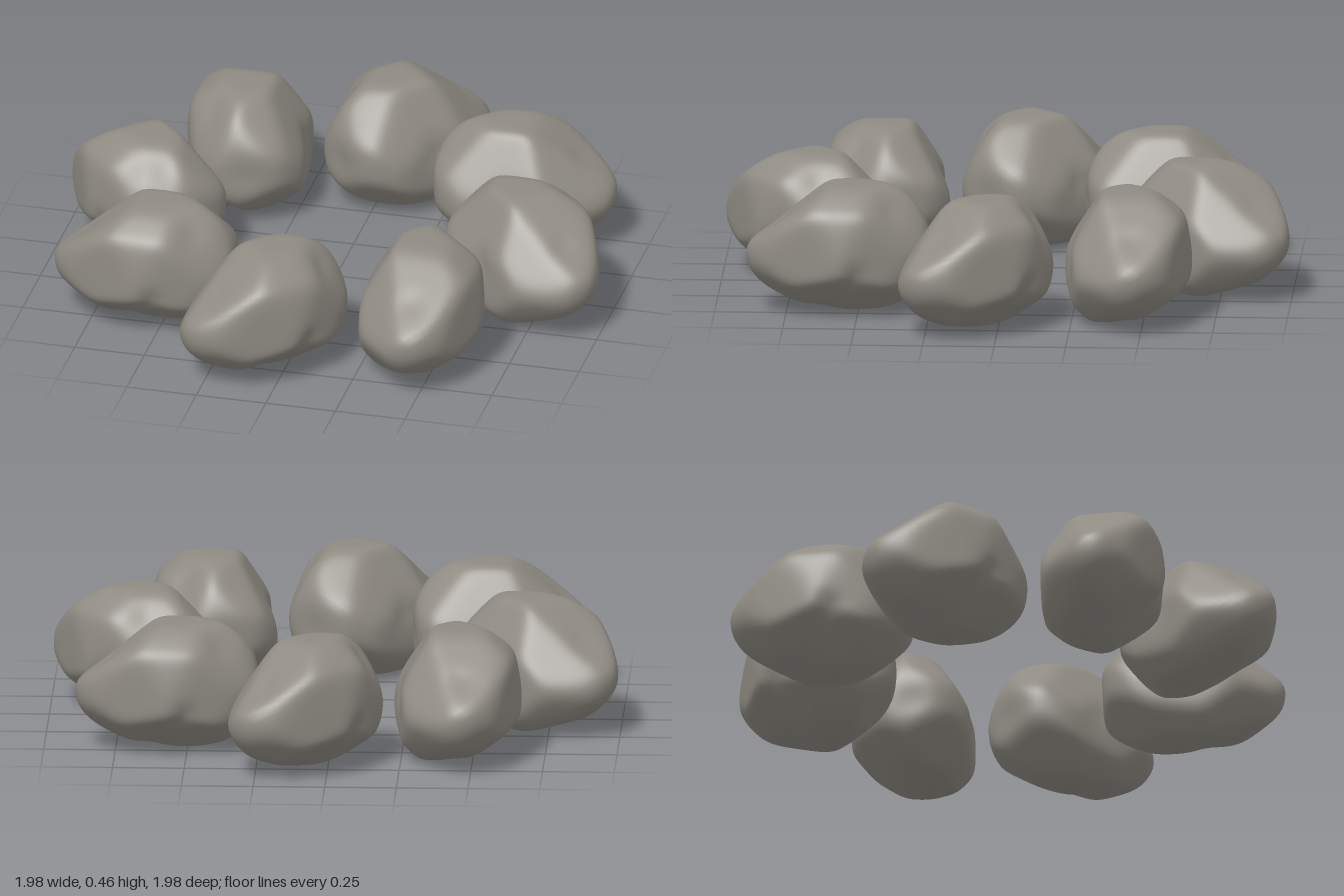
import * as THREE from 'three';
import { mergeVertices } from 'three/addons/utils/BufferGeometryUtils.js';

// Facets of the boulder: outward normal and distance from its centre
const FACETS = [
  // walls
  [0.95, 0, 0.32, 0.212], [0.94, 0, -0.34, 0.219], [-0.99, 0, 0.14, 0.207], [-0.9, 0, -0.43, 0.282],
  // inner and outer ends
  [0, 0, -1, 0.315], [0.6, 0, -0.8, 0.302], [-0.5, 0, -0.87, 0.325],
  [0, 0, 1, 0.325], [-0.55, 0, 0.83, 0.29], [0.62, 0, 0.78, 0.292], [-0.79, 0, 0.62, 0.26],
  // top and the slope towards the outer end
  [0, 1, 0, 0.225], [0, 0.81, 0.59, 0.205], [0, 0.45, -0.89, 0.31], [0.6, 0.8, 0, 0.235], [-0.86, 0.51, 0, 0.195],
  [0.97, 0.23, 0, 0.222],
  // underside
  [0, -1, -0.05, 0.226], [0, -0.93, 0.37, 0.231], [0, -0.6, 0.8, 0.3], [0, -0.6, -0.8, 0.32],
  [0.6, -0.8, 0, 0.19], [-0.7, -0.7, 0, 0.25],
  // bevelled corners of the outer end
  [0.5, 0.7, 0.5, 0.25], [0.66, 0.35, 0.66, 0.263], [0.5, -0.7, 0.5, 0.24], [0.66, -0.35, 0.66, 0.28],
  [-0.59, 0.55, 0.59, 0.205], [-0.57, -0.57, 0.57, 0.25],
  // bevelled corners of the inner end
  [0.65, 0.41, -0.65, 0.25], [0.46, 0.76, -0.46, 0.255], [0.42, -0.8, -0.42, 0.24], [0.69, -0.22, -0.69, 0.272],
  [-0.5, 0.7, -0.5, 0.26], [-0.5, -0.7, -0.5, 0.27],
];

// Shallow hollows: direction from the centre, depth as a share of the radius, tightness
const HOLLOWS = [
  [0.9, -0.33, -0.27, 0.08, 40], [-1, 0.05, -0.05, 0.07, 25], [0.05, 0.45, 0.9, 0.03, 40],
  [0.35, 0.6, -0.72, 0.04, 40], [0.1, -0.95, 0.25, 0.06, 25], [-0.2, -0.1, -1, 0.04, 40],
].map(([x, y, z, depth, tight]) => ({ dir: new THREE.Vector3(x, y, z).normalize(), depth, tight }));

const SHARPNESS = 22;
const SWELL = 1.015; // makes up for the rounding of the edges

function boulderRadius(d) {
  let sum = 0;
  for (const [x, y, z, h] of FACETS) {
    const facing = (d.x * x + d.y * y + d.z * z) / h;
    if (facing > 0) sum += Math.pow(facing, SHARPNESS);
  }
  let r = SWELL * Math.pow(sum, -1 / SHARPNESS);
  for (const { dir, depth, tight } of HOLLOWS) r *= 1 - depth * Math.exp(tight * (d.dot(dir) - 1));
  return r;
}

// One smooth boulder, resting on the ground at its place in the ring
function boulderGeometry() {
  let geo = new THREE.IcosahedronGeometry(1, 18);
  geo.deleteAttribute('normal');
  geo.deleteAttribute('uv');
  geo = mergeVertices(geo, 1e-5);
  const pos = geo.attributes.position;
  const d = new THREE.Vector3();
  for (let i = 0; i < pos.count; i++) {
    d.fromBufferAttribute(pos, i).normalize();
    d.multiplyScalar(boulderRadius(d));
    pos.setXYZ(i, d.x, d.y, d.z);
  }
  geo.computeBoundingBox();
  geo.translate(0.45, -geo.boundingBox.min.y, 0.565);
  geo.computeVertexNormals();
  return geo;
}

export function createModel() {
  const stone = new THREE.MeshStandardMaterial({ color: 0x8f8b83 });
  stone.name = 'grey stone';
  const model = new THREE.Group();
  model.name = 'stoneRing';
  const geometry = boulderGeometry();
  // Eight equal boulders around the ring
  for (let i = 0; i < 8; i++) {
    const boulder = new THREE.Mesh(geometry, stone);
    boulder.name = `boulder${i + 1}`;
    boulder.rotation.y = (i * Math.PI) / 4;
    model.add(boulder);
  }
  return model;
}
